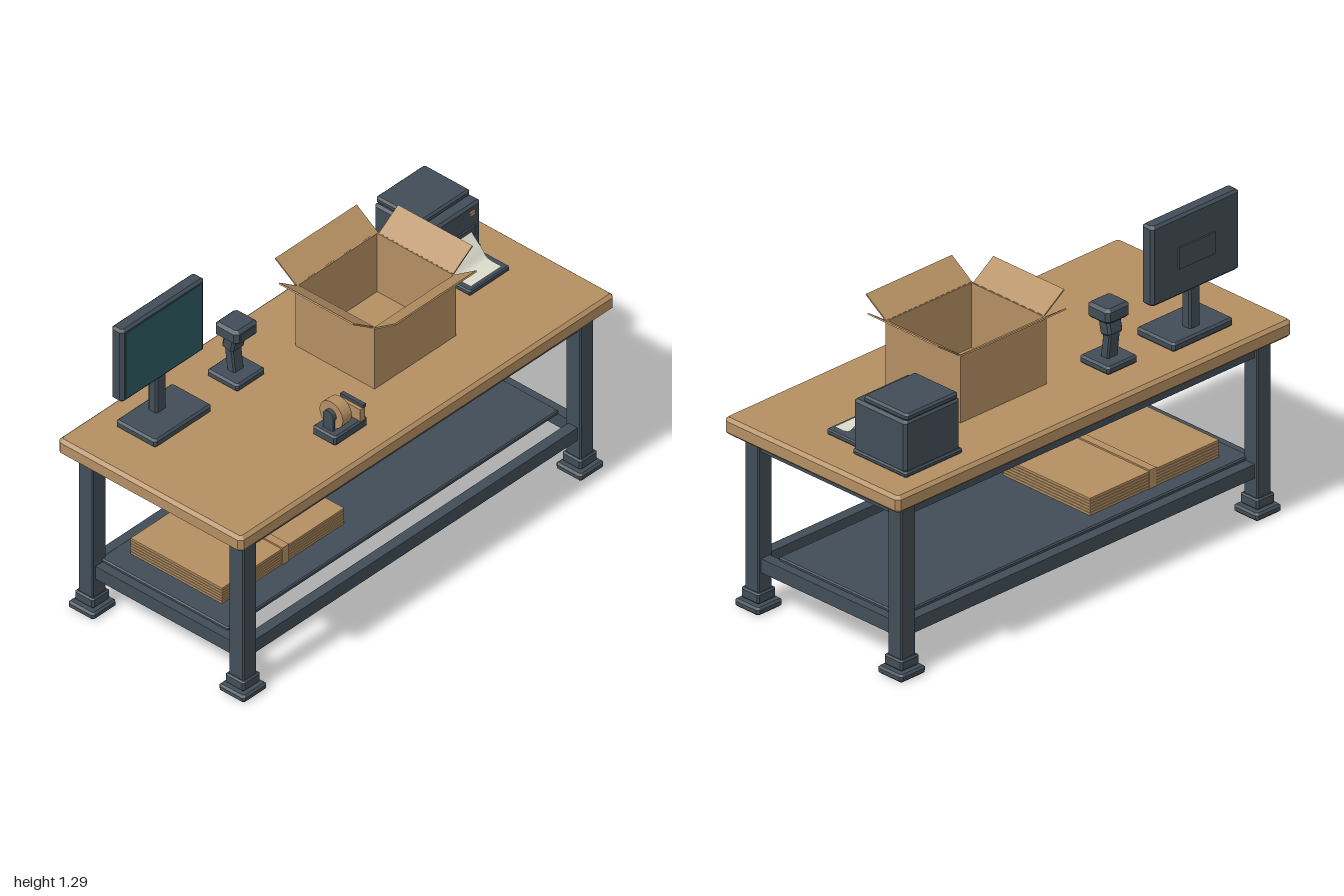
import * as THREE from 'three';

const mat = (name, color, side = THREE.FrontSide) => {
  const m = new THREE.MeshStandardMaterial({ color, side });
  m.name = name;
  return m;
};

export function createModel() {
  const tan = mat('cardboard tan', 0xb48f62);
  const steel = mat('slate steel', 0x414d57);
  const teal = mat('screen teal', 0x2f5b62);
  const cream = mat('paper cream', 0xdbdccd, THREE.DoubleSide);

  const root = new THREE.Group();
  root.name = 'packingBench';
  const group = (name) => {
    const g = new THREE.Group();
    g.name = name;
    root.add(g);
    return g;
  };
  const add = (parent, name, geo, material) => {
    const m = new THREE.Mesh(geo, material);
    m.name = name;
    parent.add(m);
    return m;
  };
  // plain box given by its limits on each axis
  const box = (parent, name, material, [x0, x1], [y0, y1], [z0, z1]) => {
    const m = add(parent, name, new THREE.BoxGeometry(x1 - x0, y1 - y0, z1 - z0), material);
    m.position.set((x0 + x1) / 2, (y0 + y1) / 2, (z0 + z1) / 2);
    return m;
  };
  // box with every edge chamfered by b
  const chamferBox = (parent, name, material, [x0, x1], [y0, y1], [z0, z1], b = 0.006) => {
    const w = (x1 - x0) / 2 - b, d = (z1 - z0) / 2 - b, h = y1 - y0, c = b * 0.6;
    const s = new THREE.Shape([
      [w - c, -d], [w, -d + c], [w, d - c], [w - c, d],
      [-w + c, d], [-w, d - c], [-w, -d + c], [-w + c, -d],
    ].map(([x, y]) => new THREE.Vector2(x, y)));
    const geo = new THREE.ExtrudeGeometry(s, {
      depth: h - 2 * b, bevelEnabled: true, bevelThickness: b, bevelSize: b, bevelSegments: 1,
    });
    geo.translate(0, 0, b - h / 2).rotateX(-Math.PI / 2);
    const m = add(parent, name, geo, material);
    m.position.set((x0 + x1) / 2, (y0 + y1) / 2, (z0 + z1) / 2);
    return m;
  };
  const around = (c, half) => [c - half, c + half];

  // Bench: top, legs with feet, rails and shelf
  const bench = group('bench');
  chamferBox(bench, 'benchTop', tan, [-1, 1], [0.705, 0.775], [-0.45, 0.45], 0.013);
  for (const sx of [-1, 1]) {
    for (const sz of [-1, 1]) {
      const x = sx * 0.9, z = sz * 0.368;
      chamferBox(bench, 'leg', steel, around(x, 0.036), [0.03, 0.706], around(z, 0.036), 0.004);
      chamferBox(bench, 'legCollar', steel, around(x, 0.046), [0.035, 0.078], around(z, 0.046));
      chamferBox(bench, 'footPad', steel, around(x, 0.064), [0, 0.031], around(z, 0.063), 0.008);
    }
    box(bench, 'sideApron', steel, around(sx * 0.9, 0.022), [0.645, 0.705], [-0.34, 0.34]);
    box(bench, 'sideRail', steel, around(sx * 0.9, 0.022), [0.155, 0.212], [-0.34, 0.34]);
    box(bench, 'longApron', steel, [-0.87, 0.87], [0.645, 0.705], around(sx * 0.368, 0.022));
    box(bench, 'longRail', steel, [-0.87, 0.87], [0.155, 0.212], around(sx * 0.368, 0.022));
  }
  chamferBox(bench, 'shelf', steel, [-0.885, 0.885], [0.205, 0.225], [-0.345, 0.28], 0.005);

  // Bundle of flat cartons held by a band
  const bundle = group('cartonBundle');
  for (let i = 0; i < 6; i++) {
    const y = 0.226 + i * 0.012;
    box(bundle, 'flatCarton', tan, [-0.793, -0.14], [y, y + 0.0095], [-0.278, 0.168]);
  }
  box(bundle, 'bundleBand', tan, [-0.474, -0.44], [0.2255, 0.302], [-0.281, 0.172]);

  // Open carton with four flaps
  const carton = group('openCarton');
  const bx = [-0.01, 0.425], by = [0.775, 1.048], bz = [-0.188, 0.198], t = 0.007;
  box(carton, 'cartonFloor', tan, bx, [0.775, 0.785], bz);
  for (const s of [0, 1]) {
    const inX = s ? [bx[1] - t, bx[1]] : [bx[0], bx[0] + t];
    const inZ = s ? [bz[1] - t, bz[1]] : [bz[0], bz[0] + t];
    box(carton, 'cartonSide', tan, inX, by, bz);
    box(carton, 'cartonFace', tan, bx, by, inZ);
  }
  const flap = (name, width, x, z, turn) => {
    const hinge = new THREE.Group();
    hinge.name = name;
    hinge.position.set(x, 1.047, z);
    hinge.rotation.y = turn;
    const geo = new THREE.BoxGeometry(width, 0.006, 0.124).translate(0, 0, 0.062).rotateX(-0.605);
    add(hinge, name + 'Panel', geo, tan);
    carton.add(hinge);
  };
  flap('frontFlap', 0.434, 0.2075, 0.197, 0);
  flap('backFlap', 0.434, 0.2075, -0.187, Math.PI);
  flap('leftFlap', 0.363, 0.424, 0.005, Math.PI / 2);
  flap('rightFlap', 0.363, -0.009, 0.005, -Math.PI / 2);

  // Monitor
  const monitor = group('monitor');
  chamferBox(monitor, 'monitorBase', steel, [-0.81, -0.505], [0.775, 0.81], [-0.338, -0.142], 0.008);
  chamferBox(monitor, 'monitorNeck', steel, [-0.685, -0.63], [0.805, 1.0], [-0.295, -0.25]);
  chamferBox(monitor, 'monitorBody', steel, [-0.88, -0.436], [0.967, 1.292], [-0.299, -0.24], 0.01);
  box(monitor, 'screen', teal, [-0.862, -0.454], [0.982, 1.277], [-0.241, -0.237]);
  box(monitor, 'monitorBackPlate', steel, [-0.75, -0.566], [1.08, 1.167], [-0.306, -0.298]);

  // Barcode scanner on its stand
  const scanner = group('scanner');
  chamferBox(scanner, 'scannerBase', steel, [-0.363, -0.21], [0.775, 0.808], [-0.302, -0.15], 0.008);
  const stem = chamferBox(scanner, 'scannerStem', steel, around(-0.287, 0.027), [0.79, 0.925], around(-0.235, 0.02), 0.005);
  stem.rotation.x = -0.12;
  const grip = chamferBox(scanner, 'scannerGrip', steel, around(-0.287, 0.036), [0.9, 0.975], around(-0.235, 0.028), 0.008);
  grip.rotation.x = 0.2;
  chamferBox(scanner, 'scannerHead', steel, around(-0.287, 0.06), [0.962, 1.024], [-0.282, -0.168], 0.012);
  box(scanner, 'scannerWindow', steel, around(-0.287, 0.042), [0.975, 1.01], [-0.17, -0.164]);

  // Tape dispenser: base, hub, roll and cutter
  const dispenser = group('tapeDispenser');
  chamferBox(dispenser, 'dispenserBase', steel, [-0.363, -0.187], [0.775, 0.816], [0.214, 0.328], 0.007);
  const ring = new THREE.Shape().absarc(0, 0, 0.057, 0, Math.PI * 2);
  ring.holes.push(new THREE.Path().absarc(0, 0, 0.025, 0, Math.PI * 2, true));
  const rollGeo = new THREE.ExtrudeGeometry(ring, { depth: 0.048, bevelEnabled: false, curveSegments: 14 });
  const roll = add(dispenser, 'tapeRoll', rollGeo.rotateY(Math.PI / 2), tan);
  roll.position.set(-0.323, 0.871, 0.272);
  const hub = add(dispenser, 'rollHub', new THREE.CylinderGeometry(0.0255, 0.0255, 0.08, 20).rotateZ(Math.PI / 2), steel);
  hub.position.set(-0.3, 0.871, 0.272);
  for (const x of [-0.334, -0.266]) {
    box(dispenser, 'hubSupport', steel, around(x, 0.006), [0.81, 0.871], around(0.272, 0.024));
  }
  box(dispenser, 'cutterPlate', tan, [-0.228, -0.203], [0.812, 0.867], [0.216, 0.327]);
  box(dispenser, 'cutterBlade', steel, [-0.214, -0.197], [0.867, 0.88], [0.216, 0.327]);

  // Label printer with tray and paper
  const printer = group('printer');
  chamferBox(printer, 'printerBase', steel, [0.583, 0.873], [0.775, 0.797], [-0.362, -0.085]);
  chamferBox(printer, 'printerBody', steel, [0.588, 0.87], [0.79, 1.0], [-0.356, -0.086], 0.01);
  chamferBox(printer, 'printerLid', steel, [0.598, 0.862], [0.998, 1.027], [-0.356, -0.13], 0.008);
  box(printer, 'printerSlot', steel, [0.63, 0.835], [0.866, 0.904], [-0.09, -0.079]);
  box(printer, 'printerButton', tan, [0.806, 0.832], [0.956, 0.973], [-0.09, -0.079]);
  chamferBox(printer, 'paperTray', steel, [0.625, 0.838], [0.78, 0.803], [-0.1, 0.083], 0.005);
  const curve = new THREE.CatmullRomCurve3([
    [0.889, -0.08], [0.868, -0.06], [0.84, -0.03], [0.812, -0.004], [0.807, 0.02], [0.807, 0.067],
  ].map(([y, z]) => new THREE.Vector3(0, y, z)));
  const paperGeo = new THREE.PlaneGeometry(0.164, 1, 1, 20);
  const pos = paperGeo.attributes.position;
  for (let i = 0; i < pos.count; i++) {
    const p = curve.getPoint(0.5 - pos.getY(i));
    pos.setXYZ(i, pos.getX(i) + 0.729, p.y, p.z);
  }
  paperGeo.computeVertexNormals();
  add(printer, 'paperSheet', paperGeo, cream);

  return root;
}
